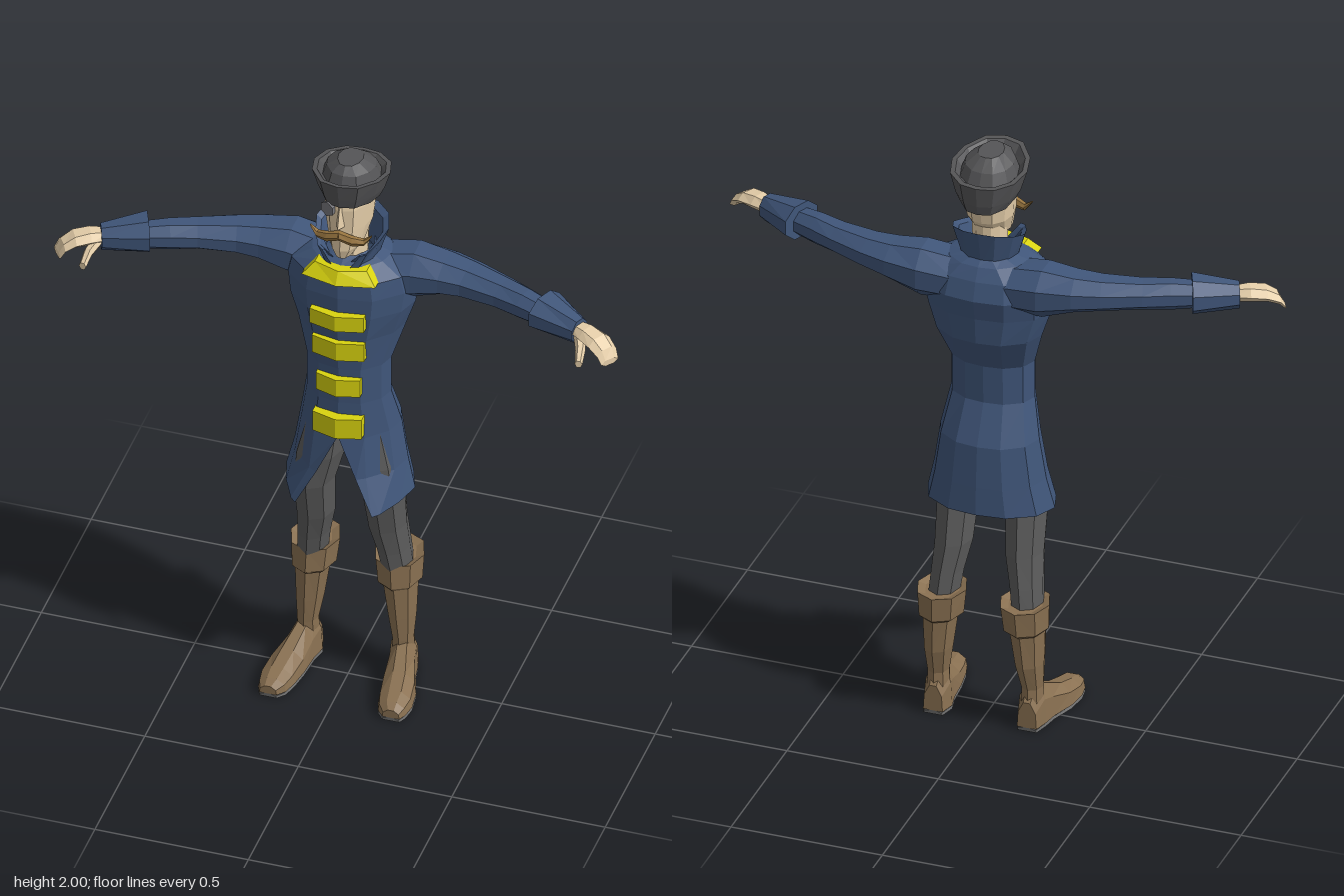
import * as THREE from 'three';

const mat = (color) => new THREE.MeshStandardMaterial({ color, flatShading: true, side: THREE.DoubleSide });
const M = {
  coat: mat(0x40567a), gold: mat(0xd9d30f), trousers: mat(0x5c5c5c), boot: mat(0x8a7152),
  sole: mat(0x666666), skin: mat(0xe6cfaa), hat: mat(0x555557), hair: mat(0x97743f), patch: mat(0x77777c),
};

// Skin a list of rings; each ring runs counter-clockwise about the direction of travel
function loft(rings, closed = true, caps = true) {
  const pos = [];
  const tri = (a, b, c) => pos.push(...a, ...b, ...c);
  const n = rings[0].length;
  for (let i = 0; i < rings.length - 1; i++) {
    const a = rings[i], b = rings[i + 1];
    for (let j = 0; j < (closed ? n : n - 1); j++) {
      const k = (j + 1) % n;
      tri(a[j], a[k], b[k]);
      tri(a[j], b[k], b[j]);
    }
  }
  if (caps) {
    [rings[0], rings[rings.length - 1]].forEach((r, end) => {
      const c = [0, 1, 2].map((d) => r.reduce((s, p) => s + p[d], 0) / n);
      r.forEach((p, j) => (end ? tri(c, p, r[(j + 1) % n]) : tri(c, r[(j + 1) % n], p)));
    });
  }
  const g = new THREE.BufferGeometry();
  g.setAttribute('position', new THREE.Float32BufferAttribute(pos, 3));
  g.computeVertexNormals();
  return g;
}

// Mirror a triangle soup across x and restore its winding
function mirrored(g) {
  const p = g.attributes.position.array, out = [];
  for (let i = 0; i < p.length; i += 9)
    for (const k of [0, 6, 3]) out.push(-p[i + k], p[i + k + 1], p[i + k + 2]);
  const m = new THREE.BufferGeometry();
  m.setAttribute('position', new THREE.Float32BufferAttribute(out, 3));
  m.computeVertexNormals();
  return m;
}

// Horizontal body ring, open at the front by "slit"; "slope" tilts it along z
const HALF = [[0, 1], [0.5, 0.88], [0.88, 0.4], [1, -0.1], [0.85, -0.6], [0.45, -0.93], [0, -1]];
function bodyRing([y, w, zf, zb, slope = 0, slit = 0], open = false) {
  const c = (zf + zb) / 2, h = (zf - zb) / 2;
  const left = HALF.map(([u, v], i) => {
    const z = c + v * h;
    const x = i === 0 ? slit : i === 1 ? Math.max(u * w, slit && slit + 0.02) : u * w;
    return [x, y + slope * z, z];
  });
  const right = left.slice(open ? 0 : 1, -1).reverse().map(([x, py, z]) => [-x, py, z]);
  return [...left, ...right];
}
const body = (rows) => loft(rows.map((r) => bodyRing(r)));
const openBody = (rows) => loft(rows.map((r) => bodyRing(r, true)), false, false);

// Upright limb from rows [x, y, z, rx, rz]
const column = (rows, n = 8) => loft(rows.map(([x, y, z, rx, rz]) =>
  Array.from({ length: n }, (_, j) => {
    const a = (j / n) * Math.PI * 2;
    return [x + rx * Math.sin(a), y, z + rz * Math.cos(a)];
  })));

// Sideways limb from rows [x, y, z, ry, rz], sections turned to follow the path
const limb = (rows, n = 8) => loft(rows.map(([x, y, z, ry, rz], i) => {
  const p = rows[Math.max(i - 1, 0)], q = rows[Math.min(i + 1, rows.length - 1)];
  const t = Math.atan2(q[2] - p[2], q[0] - p[0]);
  return Array.from({ length: n }, (_, j) => {
    const a = ((j + 0.5) / n) * Math.PI * 2, s = rz * Math.sin(a);
    return [x - Math.sin(t) * s, y + ry * Math.cos(a), z + Math.cos(t) * s];
  });
}));

// Bar bent around the chest: box sections running along x
const bar = (y, h, w, zMid, zEnd, lean = 0, taper = 1) =>
  loft([[-1, zEnd], [0, zMid], [1, zEnd]].map(([s, z]) => [
    [s * w * taper, y + h, z - 0.04 - lean], [s * w * taper, y + h, z - lean],
    [s * w, y - h, z], [s * w, y - h, z - 0.04]]));

// Foot sections [x, z, half width, height] with a flat underside
const FOOT = [[0.155, -0.13, 0.032, 0.1], [0.155, -0.08, 0.046, 0.15], [0.165, -0.03, 0.045, 0.125],
  [0.182, 0.05, 0.056, 0.085], [0.192, 0.12, 0.055, 0.065], [0.195, 0.165, 0.045, 0.055], [0.2, 0.19, 0.028, 0.04]];
const foot = (y0, thick) => loft(FOOT.map(([x, z, w, h]) =>
  [[-1, 0], [1, 0], [0.9, 0.6], [0.35, 1], [-0.35, 1], [-0.9, 0.6]]
    .map(([u, v]) => [x + u * w, y0 + v * (thick || h - y0), z])));

export function createModel() {
  const model = new THREE.Group();
  model.name = 'coatedSailor';
  const add = (name, geo, material) => {
    const m = new THREE.Mesh(geo, material);
    m.name = name;
    model.add(m);
    return m;
  };
  const pair = (name, geo, material) => {
    add('left' + name, geo, material);
    add('right' + name, mirrored(geo), material);
  };

  // Coat with a front slit in the skirt
  add('coat', openBody([
    [0.755, 0.21, 0.15, -0.17, -0.06, 0.125],
    [0.86, 0.185, 0.125, -0.165, 0, 0.065],
    [1.0, 0.163, 0.105, -0.155],
    [1.13, 0.138, 0.1, -0.098],
    [1.26, 0.138, 0.1, -0.1],
    [1.38, 0.175, 0.105, -0.168],
    [1.47, 0.205, 0.11, -0.175],
    [1.54, 0.215, 0.11, -0.19],
    [1.6, 0.2, 0.105, -0.17],
    [1.64, 0.13, 0.075, -0.145],
    [1.66, 0.07, 0.04, -0.12],
  ]), M.coat);
  add('collar', openBody([
    [1.62, 0.085, 0.075, -0.12, -0.1, 0.012],
    [1.715, 0.118, 0.075, -0.145, -0.3, 0.06],
    [1.705, 0.1, 0.06, -0.125, -0.3, 0.055],
    [1.63, 0.07, 0.05, -0.105, 0, 0.01],
  ]), M.coat);

  // Gold fastenings
  [[1.46, 0.028, 0.088, 0.138], [1.342, 0.033, 0.085, 0.125], [1.2, 0.032, 0.072, 0.125], [1.05, 0.037, 0.08, 0.135]]
    .forEach(([y, h, w, z], i) => add('fastening' + (i + 1), bar(y, h, w, z, z - 0.022), M.gold));
  add('chestTrim', bar(1.622, 0.02, 0.12, 0.128, 0.1, 0.025, 0.7), M.gold);

  // Arms, cuffs and hands
  pair('Sleeve', limb([
    [0.08, 1.56, -0.07, 0.08, 0.1], [0.2, 1.57, -0.08, 0.088, 0.1], [0.3, 1.58, -0.074, 0.064, 0.088],
    [0.38, 1.582, -0.06, 0.055, 0.075], [0.5, 1.583, -0.025, 0.048, 0.06], [0.58, 1.582, 0.005, 0.05, 0.052],
    [0.7, 1.58, 0.05, 0.04, 0.042]]), M.coat);
  pair('Cuff', limb([[0.645, 1.588, 0.022, 0.063, 0.078], [0.78, 1.578, 0.08, 0.045, 0.038]]), M.coat);
  pair('Hand', limb([
    [0.76, 1.582, 0.072, 0.024, 0.028], [0.81, 1.585, 0.095, 0.026, 0.04], [0.855, 1.58, 0.118, 0.023, 0.044],
    [0.887, 1.56, 0.138, 0.019, 0.038], [0.9, 1.535, 0.148, 0.012, 0.032]], 6), M.skin);
  pair('Thumb', limb([
    [0.785, 1.572, 0.1, 0.02, 0.018], [0.802, 1.552, 0.14, 0.018, 0.016],
    [0.808, 1.525, 0.178, 0.014, 0.012]], 6), M.skin);

  // Trousers and boots
  pair('TrouserLeg', column([
    [0.14, 0.4, -0.075, 0.05, 0.07], [0.13, 0.5, -0.06, 0.053, 0.076], [0.117, 0.6, -0.04, 0.062, 0.082],
    [0.113, 0.75, -0.01, 0.068, 0.092], [0.093, 0.87, -0.015, 0.08, 0.105], [0.07, 1.0, -0.02, 0.07, 0.1]]), M.trousers);
  pair('BootShaft', column([
    [0.155, 0.08, -0.08, 0.038, 0.045], [0.155, 0.14, -0.075, 0.035, 0.047], [0.15, 0.23, -0.085, 0.046, 0.066],
    [0.142, 0.38, -0.088, 0.06, 0.08]]), M.boot);
  pair('BootCuff', column([
    [0.141, 0.35, -0.088, 0.063, 0.083], [0.14, 0.36, -0.09, 0.073, 0.092],
    [0.137, 0.445, -0.095, 0.08, 0.096], [0.137, 0.435, -0.09, 0.055, 0.072]]), M.boot);
  pair('Foot', foot(0.012), M.boot);
  pair('Sole', foot(0, 0.012), M.sole);

  // Head and neck
  add('neck', body([[1.6, 0.05, 0.045, -0.1], [1.76, 0.055, 0.03, -0.1]]), M.skin);
  add('head', body([
    [1.675, 0.028, 0.078, 0.0], [1.715, 0.055, 0.086, -0.07, -0.1], [1.78, 0.073, 0.082, -0.115],
    [1.86, 0.08, 0.082, -0.13], [1.92, 0.075, 0.07, -0.12]]), M.skin);
  add('nose', loft([
    [[-0.017, 1.8, 0.07], [0.017, 1.8, 0.07], [0, 1.805, 0.108]],
    [[-0.009, 1.875, 0.07], [0.009, 1.875, 0.07], [0, 1.875, 0.088]]]), M.skin);

  // Moustache with upturned tips
  pair('Moustache', limb([
    [0, 1.772, 0.09, 0.016, 0.016], [0.04, 1.758, 0.086, 0.018, 0.015],
    [0.075, 1.753, 0.075, 0.012, 0.012], [0.1, 1.778, 0.07, 0.003, 0.004]], 6), M.hair);

  // Eye patch
  const patch = add('eyePatch', new THREE.CylinderGeometry(0.027, 0.024, 0.014, 6), M.patch);
  patch.rotation.set(Math.PI / 2, 0, 0.35);
  patch.position.set(-0.04, 1.862, 0.078);

  // Hat: flared upturned brim around a low crown
  add('hat', body([
    [1.862, 0.088, 0.09, -0.15, 0.21], [1.895, 0.104, 0.098, -0.158, 0.2],
    [1.957, 0.124, 0.11, -0.165, 0.16], [1.957, 0.108, 0.094, -0.15, 0.16],
    [1.935, 0.092, 0.07, -0.135, 0.1], [1.972, 0.078, 0.055, -0.115, 0.1], [1.998, 0.04, 0.03, -0.075, 0.05]]), M.hat);

  return model;
}
